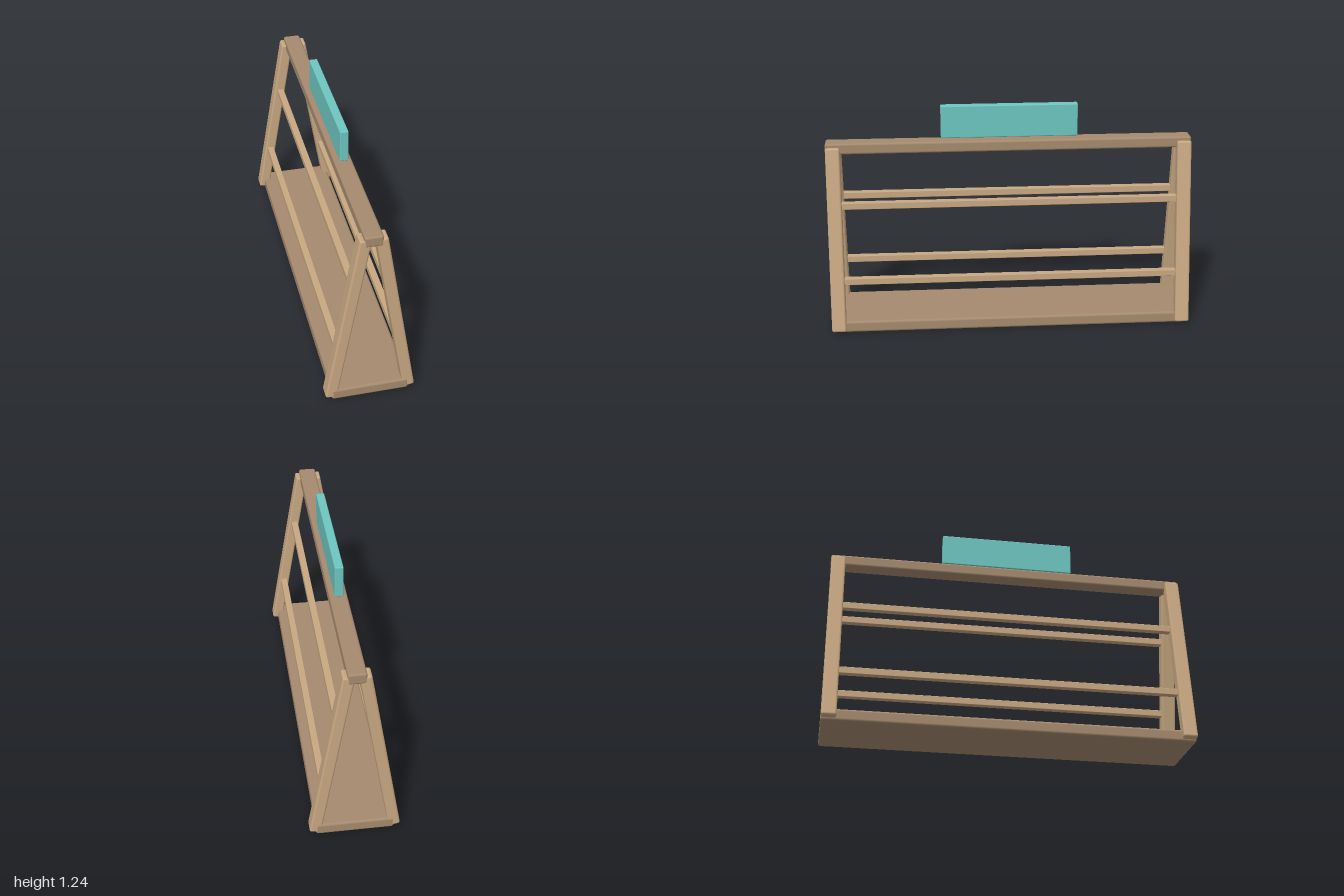
import * as THREE from 'three';
import { RoundedBoxGeometry } from 'three/addons/geometries/RoundedBoxGeometry.js';

const lightWood = new THREE.MeshStandardMaterial({ color: 0xc8a882 });
const darkWood = new THREE.MeshStandardMaterial({ color: 0xa58a6e });
const teal = new THREE.MeshStandardMaterial({ color: 0x6ec6c0 });

// Box with softened edges
function block(name, size, position, material, bevel) {
  const mesh = new THREE.Mesh(new RoundedBoxGeometry(...size, 2, bevel), material);
  mesh.name = name;
  mesh.position.set(...position);
  return mesh;
}

export function createModel() {
  const model = new THREE.Group();
  model.name = 'displayRack';

  // Floor panel and ridge beam run the full length
  model.add(block('basePanel', [0.412, 0.066, 2], [0, 0.035, 0], darkWood, 0.014));
  model.add(block('ridgeBeam', [0.096, 0.062, 2], [0, 1.02, 0], darkWood, 0.012));

  for (const side of [-1, 1]) {
    const sideName = side > 0 ? 'left' : 'right';

    // Leaning legs, one pair at each end
    for (const end of [-1, 1]) {
      const leg = block(`${sideName}${end > 0 ? 'Front' : 'Back'}Leg`,
        [0.062, 1.026, 0.079], [side * 0.125, 0.522, end * 0.9585], lightWood, 0.011);
      leg.rotation.z = side * Math.atan(0.167);
      model.add(leg);
    }

    // Rails between the legs, following their slope
    for (const [rail, x, y] of [['LowerRail', 0.162, 0.297], ['UpperRail', 0.088, 0.712]]) {
      model.add(block(sideName + rail, [0.037, 0.037, 1.9], [side * x, y, 0], lightWood, 0.003));
    }
  }

  // Blank sign hovering just above the beam
  model.add(block('signBoard', [0.046, 0.18, 0.746], [0, 1.153, 0], teal, 0.006));

  return model;
}
